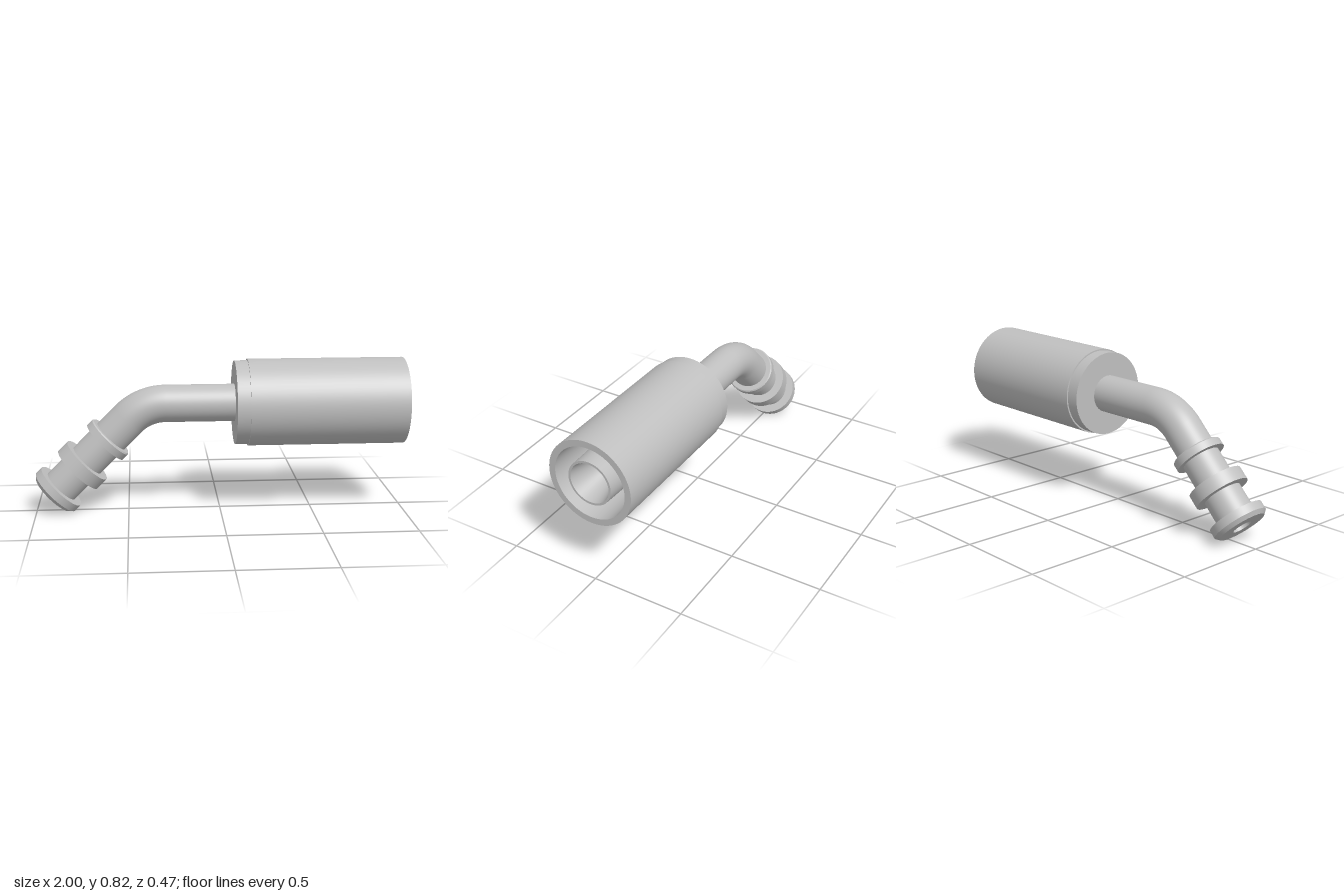
import * as THREE from 'three';
import { mergeGeometries } from 'three/addons/utils/BufferGeometryUtils.js';

const AXIS_Y = 0.588;          // height of the straight run
const CORNER_X = -0.412;       // where the two centre lines meet
const BEND_R = 0.285;
const TUBE_R = 0.101, BORE_R = 0.051;
const TANGENT = BEND_R * Math.tan(Math.PI / 8);

// Turned part from [radius, position] points, with a sharp edge at every point
function turned(points) {
  const bands = [];
  for (let i = 0; i < points.length - 1; i++) {
    const pair = [points[i], points[i + 1]].map(([r, p]) => new THREE.Vector2(r, p));
    bands.push(new THREE.LatheGeometry(pair, 64));
  }
  return mergeGeometries(bands);
}

export function createModel() {
  const model = new THREE.Group();
  model.name = 'hoseFitting';
  const steel = new THREE.MeshStandardMaterial({ color: 0xbfbfbf, side: THREE.DoubleSide });
  steel.name = 'steel';

  const add = (parent, name, geometry) => {
    const mesh = new THREE.Mesh(geometry, steel);
    mesh.name = name;
    parent.add(mesh);
  };

  // Straight run along +x: turned profiles are measured along x
  const straight = new THREE.Group();
  straight.name = 'straightRun';
  straight.position.y = AXIS_Y;
  straight.rotation.z = -Math.PI / 2;
  model.add(straight);

  const bendStart = CORNER_X + TANGENT;
  add(straight, 'straightTube', turned([[TUBE_R, bendStart], [TUBE_R, 0.08]]));
  add(straight, 'crimpSleeve', turned([
    [TUBE_R, 0.08], [0.227, 0.08], [0.227, 0.15], [0.235, 0.15],
    [0.235, 1], [0.2, 1], [0.172, 0.2], [0.143, 0.2],
  ]));
  // Tapered nipple inside the sleeve, with a funnel leading to the bore
  add(straight, 'nipple', turned([
    [0.143, 0.2], [0.122, 1], [0.11, 1], [BORE_R, 0.75], [BORE_R, bendStart],
  ]));

  // 45 degree bend, outer wall and bore
  const bend = new THREE.Group();
  bend.name = 'bend';
  bend.position.set(bendStart, AXIS_Y - BEND_R, 0);
  bend.rotation.z = Math.PI / 2;
  model.add(bend);
  add(bend, 'bendWall', new THREE.TorusGeometry(BEND_R, TUBE_R, 64, 20, Math.PI / 4));
  add(bend, 'bendBore', new THREE.TorusGeometry(BEND_R, BORE_R, 48, 20, Math.PI / 4));

  // Angled run, measured from the corner down and to the right of the model
  const angled = new THREE.Group();
  angled.name = 'angledRun';
  angled.position.set(CORNER_X, AXIS_Y, 0);
  angled.rotation.z = Math.PI * 0.75;
  model.add(angled);

  add(angled, 'angledTube', turned([[TUBE_R, TANGENT], [TUBE_R, 0.645]]));
  add(angled, 'upperRing', turned([
    [TUBE_R, 0.25], [0.128, 0.25], [0.134, 0.256], [0.134, 0.296], [TUBE_R, 0.296],
  ]));
  add(angled, 'middleRing', turned([
    [TUBE_R, 0.437], [0.147, 0.437], [0.147, 0.509], [TUBE_R, 0.509],
  ]));
  add(angled, 'endFlange', turned([
    [TUBE_R, 0.64], [0.147, 0.64], [0.147, 0.684], [0.127, 0.704],
    [BORE_R, 0.704], [BORE_R, TANGENT],
  ]));

  return model;
}
